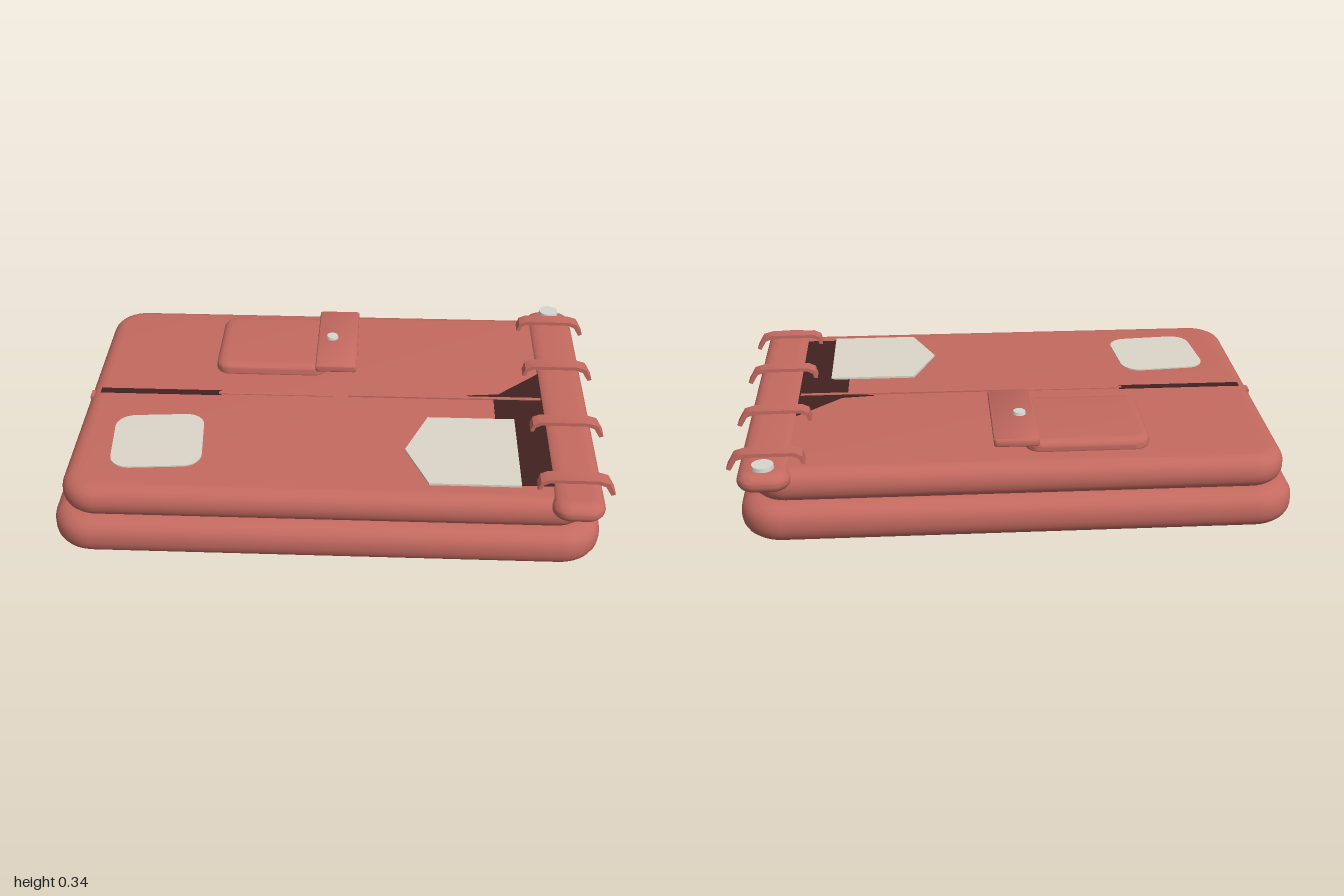
import * as THREE from 'three';
import { toCreasedNormals } from 'three/addons/utils/BufferGeometryUtils.js';

const material = (name, color) => {
  const m = new THREE.MeshStandardMaterial({ color });
  m.name = name;
  return m;
};

export function createModel() {
  const group = new THREE.Group();
  const red = material('red cloth', 0xc46a60);
  const cream = material('cream patch', 0xdcd6c8);
  const dark = material('dark fold', 0x42211f);
  const metal = material('pale metal', 0xd6d6ce);

  const add = (name, geometry, mat, x = 0, y = 0, z = 0) => {
    const mesh = new THREE.Mesh(geometry, mat);
    mesh.name = name;
    mesh.position.set(x, y, z);
    group.add(mesh);
    return mesh;
  };

  // Rectangle with rounded corners in x/z
  const roundedRect = (x0, x1, z0, z1, r) => {
    const s = new THREE.Shape();
    s.moveTo(x0 + r, z0);
    s.lineTo(x1 - r, z0);
    s.absarc(x1 - r, z0 + r, r, -Math.PI / 2, 0);
    s.lineTo(x1, z1 - r);
    s.absarc(x1 - r, z1 - r, r, 0, Math.PI / 2);
    s.lineTo(x0 + r, z1);
    s.absarc(x0 + r, z1 - r, r, Math.PI / 2, Math.PI);
    s.lineTo(x0, z0 + r);
    s.absarc(x0 + r, z0 + r, r, Math.PI, Math.PI * 1.5);
    return s;
  };

  // Soft cushion with rolled edges, lying flat between y0 and y1
  const cushion = (name, [x0, x1], [y0, y1], [z0, z1], r, size, thick) => {
    const g = new THREE.ExtrudeGeometry(
      roundedRect(x0 + size, x1 - size, z0 + size, z1 - size, r - size), {
        depth: y1 - y0 - 2 * thick, curveSegments: 4, bevelEnabled: true,
        bevelSize: size, bevelThickness: thick, bevelSegments: 5,
      });
    g.rotateX(Math.PI / 2);
    return add(name, toCreasedNormals(g, 0.8), red, 0, y1 - thick, 0);
  };

  // Thin plate from a shape in x/z, with its top at the given height
  const plate = (name, shape, mat, top, depth) => {
    const g = new THREE.ExtrudeGeometry(shape, { depth, bevelEnabled: false, curveSegments: 4 });
    g.rotateX(Math.PI / 2);
    return add(name, g, mat, 0, top, 0);
  };
  const polygon = (pts) => new THREE.Shape(pts.map(([x, y]) => new THREE.Vector2(x, y)));

  // Folded layers and waistband
  cushion('lowerLayer', [-1, 0.96], [0, 0.146], [-0.685, 0.685], 0.15, 0.07, 0.062);
  cushion('upperLayer', [-0.965, 0.92], [0.142, 0.265], [-0.65, 0.65], 0.13, 0.055, 0.056);
  cushion('waistband', [0.77, 0.955], [0.205, 0.278], [-0.695, 0.695], 0.065, 0.05, 0.034);

  // Belt loops: a bent strip over the waistband
  const loopShape = polygon([
    [0.72, 0.25], [0.733, 0.25], [0.744, 0.285], [0.765, 0.296], [0.93, 0.296],
    [0.96, 0.285], [0.982, 0.248], [0.997, 0.254], [0.972, 0.298], [0.935, 0.309],
    [0.76, 0.309], [0.734, 0.297],
  ]);
  for (const z of [-0.55, -0.2, 0.19, 0.545]) {
    const g = new THREE.ExtrudeGeometry(loopShape, { depth: 0.055, bevelEnabled: false });
    add('beltLoop', toCreasedNormals(g, 0.8), red, 0, 0, z - 0.0275);
  }

  // Pocket with flap and stud
  cushion('pocket', [-0.49, -0.045], [0.245, 0.305], [-0.54, -0.14], 0.06, 0.035, 0.026);
  cushion('pocketFlap', [-0.093, 0.068], [0.295, 0.324], [-0.554, -0.12], 0.012, 0.006, 0.006);
  add('pocketStud', new THREE.CylinderGeometry(0.022, 0.025, 0.012, 12), metal, -0.035, 0.329, -0.338);

  // Waist button
  add('waistButton', new THREE.CylinderGeometry(0.038, 0.04, 0.014, 16), metal, 0.863, 0.294, -0.638);
  add('buttonShank', new THREE.CylinderGeometry(0.012, 0.012, 0.02, 8), metal, 0.863, 0.28, -0.638);

  // Centre seam
  add('thinSeam', new THREE.BoxGeometry(0.44, 0.008, 0.018), red, -0.24, 0.264, 0);
  add('flySeam', new THREE.BoxGeometry(0.74, 0.008, 0.015), red, 0.41, 0.267, 0);
  add('seamFold', new THREE.BoxGeometry(0.47, 0.006, 0.032), dark, -0.685, 0.264, 0);
  add('seamEnd', new THREE.BoxGeometry(0.035, 0.03, 0.045), red, -0.943, 0.235, 0);

  // Shaded fold beside the waistband
  plate('waistFold', polygon([
    [0.5, -0.018], [0.62, -0.03], [0.79, -0.19], [0.79, 0.55], [0.66, 0.55],
    [0.66, 0.14], [0.6, 0.14], [0.6, 0],
  ]), dark, 0.268, 0.005);

  // Patches
  const patch = plate('kneePatch', roundedRect(-0.165, 0.165, -0.165, 0.165, 0.07), cream, 0.27, 0.008);
  patch.position.set(-0.648, 0.27, 0.33);
  patch.rotation.y = 0.08;
  plate('pointedPatch', polygon([
    [0.26, 0.355], [0.345, 0.146], [0.67, 0.146], [0.67, 0.56], [0.345, 0.56],
  ]), cream, 0.273, 0.009);

  return group;
}
